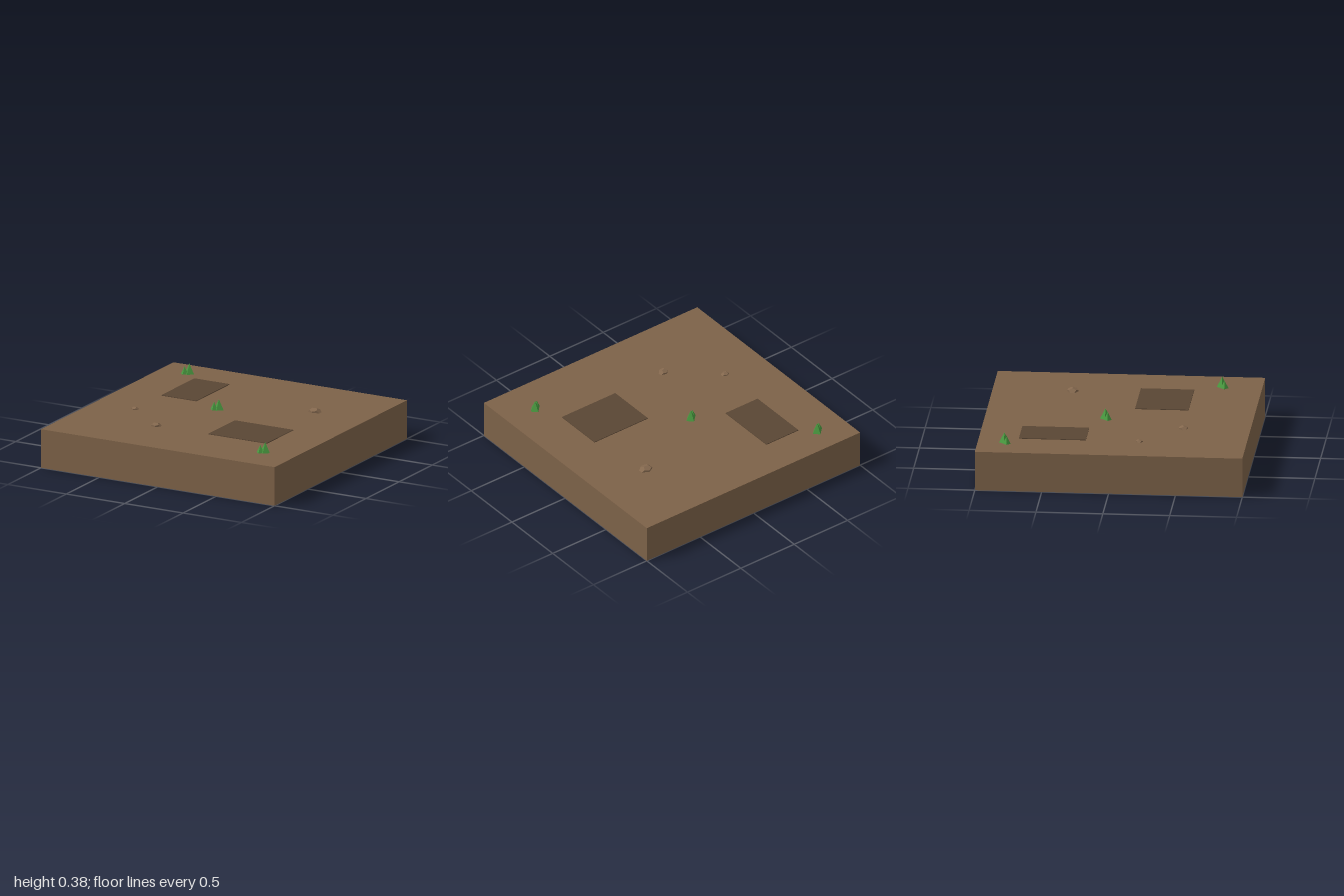
import * as THREE from 'three';

const mat = (name, color) => {
  const m = new THREE.MeshStandardMaterial({ color, flatShading: true });
  m.name = name;
  return m;
};

export function createModel() {
  const soil = mat('soil brown', 0x7d6248);
  const darkSoil = mat('dark soil', 0x594634);
  const stone = mat('stone brown', 0x84684e);
  const grass = mat('grass green', 0x4a9a40);

  const model = new THREE.Group();
  model.name = 'dirtTile';
  const GROUND = 0.3;

  const add = (parent, name, geometry, material, x, y, z) => {
    const mesh = new THREE.Mesh(geometry, material);
    mesh.name = name;
    mesh.position.set(x, y, z);
    parent.add(mesh);
    return mesh;
  };

  // Square slab of earth
  add(model, 'groundBlock', new THREE.BoxGeometry(2, GROUND, 2), soil, 0, GROUND / 2, 0);

  // Thin dark patches: x, z, width, depth
  for (const [x, z, w, d] of [[-0.5, -0.45, 0.3, 0.5], [0.4, 0.3, 0.5, 0.4]]) {
    add(model, 'soilPatch', new THREE.BoxGeometry(w, 0.006, d), darkSoil, x, GROUND + 0.002, z);
  }

  // Flattened stones half sunk in the ground: x, z, radius, turn
  for (const [x, z, r, turn] of [[0.55, -0.4, 0.05, 0], [-0.3, 0.5, 0.04, 0.3], [-0.65, 0.2, 0.03, 0]]) {
    const rock = add(model, 'stone', new THREE.DodecahedronGeometry(r), stone, x, GROUND, z);
    rock.scale.set(1.08, 0.62, 0.93);
    rock.rotation.y = turn;
  }

  // Grass tufts: a tall and a short four-sided blade
  for (const [x, z] of [[-0.75, -0.8], [-0.1, -0.1], [0.75, 0.7]]) {
    const tuft = new THREE.Group();
    tuft.name = 'grassTuft';
    tuft.position.set(x, GROUND, z);
    add(tuft, 'tallBlade', new THREE.ConeGeometry(0.04, 0.08, 4), grass, 0, 0.04, 0);
    add(tuft, 'shortBlade', new THREE.ConeGeometry(0.03, 0.06, 4), grass, -0.03, 0.03, 0.02);
    model.add(tuft);
  }

  return model;
}
